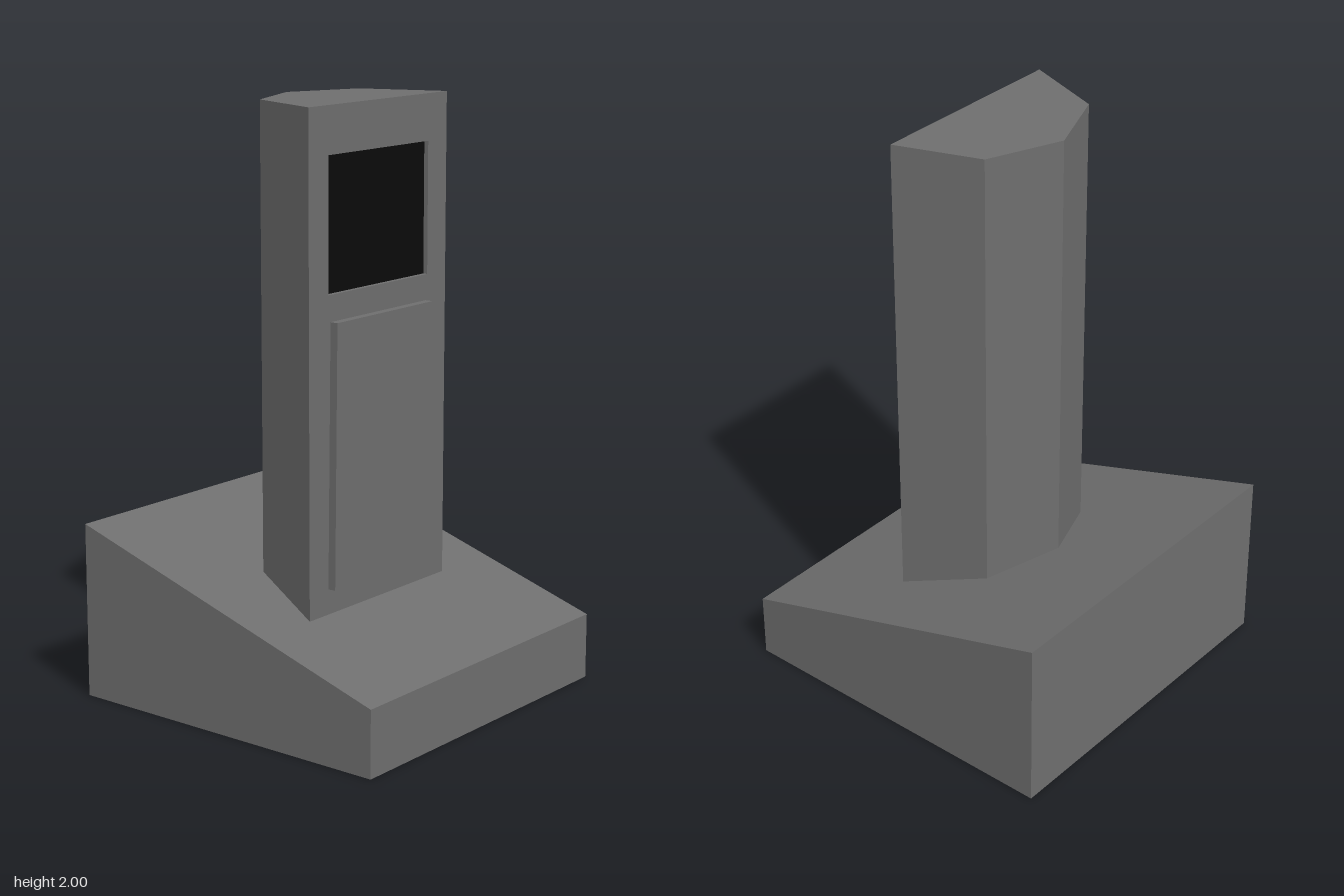
import * as THREE from 'three';

const grey = new THREE.MeshStandardMaterial({ color: 0x6e6e6e });
grey.name = 'grey casing';
const black = new THREE.MeshStandardMaterial({ color: 0x0b0b0b });
black.name = 'black screen';

const FRONT = 0.172; // z of the column's front face
const RECESS = 0.02; // depth of the screen recess
const screen = { left: -0.273, right: 0.245, bottom: 1.405, top: 1.845 };

// Extrudes an outline of [x, y] points along +z.
function prism(points, depth) {
  const shape = new THREE.Shape(points.map(([x, y]) => new THREE.Vector2(x, y)));
  return new THREE.ExtrudeGeometry(shape, { depth, bevelEnabled: false });
}

// Raises a footprint of [x, z] points from y0 to y1.
function upright(footprint, y0, y1) {
  return prism(footprint.map(([x, z]) => [x, -z]), y1 - y0).rotateX(-Math.PI / 2).translate(0, y0, 0);
}

export function createModel() {
  const model = new THREE.Group();
  model.name = 'kiosk';
  const add = (name, geometry, material, parent = model) => {
    const mesh = new THREE.Mesh(geometry, material);
    mesh.name = name;
    parent.add(mesh);
  };

  // Wedge base: side outline in (z, y), extruded across the width
  const wedge = prism([[0.6, 0], [0.6, 0.225], [-0.6, 0.597], [-0.6, 0]], 1.2);
  add('base', wedge.rotateY(-Math.PI / 2).translate(0.6, 0, 0), grey);

  // Five-sided column, notched at the height of the screen
  const column = new THREE.Group();
  column.name = 'column';
  model.add(column);
  const back = [[0.345, FRONT], [0.24, -0.113], [-0.013, -0.215], [-0.265, -0.113], [-0.37, FRONT]];
  const notch = [
    [screen.left, FRONT], [screen.left, FRONT - RECESS],
    [screen.right, FRONT - RECESS], [screen.right, FRONT],
  ];
  add('columnLower', upright(back, 0.3, screen.bottom), grey, column);
  add('columnMiddle', upright([...back, ...notch], screen.bottom, screen.top), grey, column);
  add('columnUpper', upright(back, screen.top, 2), grey, column);

  // Screen plate set at the back of the recess
  const plate = new THREE.BoxGeometry(screen.right - screen.left, screen.top - screen.bottom, 0.004);
  plate.translate((screen.left + screen.right) / 2, (screen.top + screen.bottom) / 2, FRONT - RECESS + 0.002);
  add('screen', plate, black);

  // Slightly tapered raised panel below the screen
  const panel = prism([[-0.275, 0.443], [0.246, 0.443], [0.237, 1.318], [-0.263, 1.318]], 0.028);
  add('frontPanel', panel.translate(0, 0, FRONT), grey);

  return model;
}
